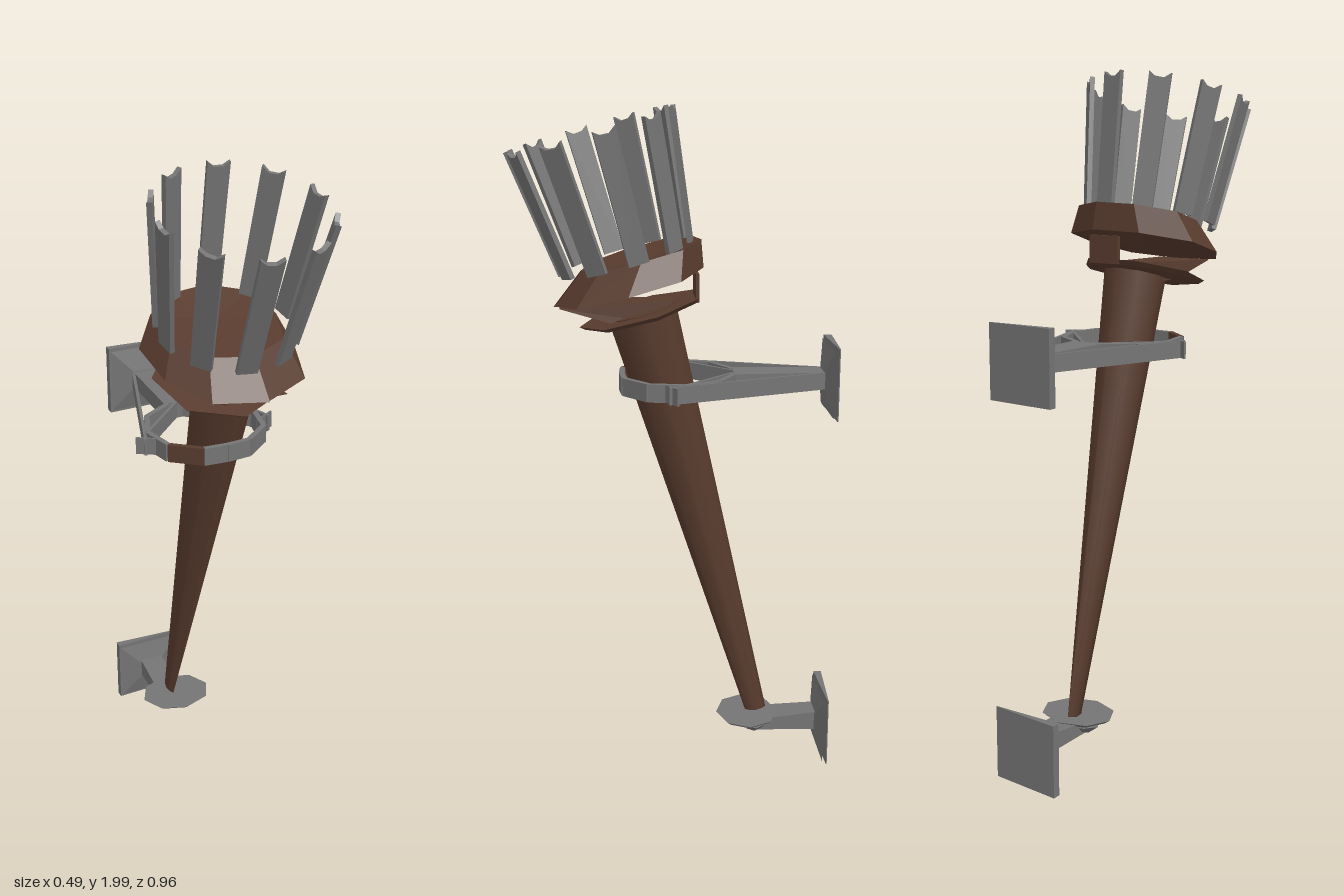
import * as THREE from 'three';

const iron = new THREE.MeshStandardMaterial({ color: 0x747474, side: THREE.DoubleSide });
iron.name = 'iron grey';
const wood = new THREE.MeshStandardMaterial({ color: 0x583b2e, side: THREE.DoubleSide });
wood.name = 'dark wood brown';

const TILT = 0.268; // the torch leans out from the wall

function add(parent, name, geo, mat, x = 0, y = 0, z = 0) {
  const mesh = new THREE.Mesh(geo, mat);
  mesh.name = name;
  mesh.position.set(x, y, z);
  parent.add(mesh);
  return mesh;
}

// Solid between two four-cornered cross-sections, each counter-clockwise seen from +z
function hull(back, front) {
  const p = [...back, ...front];
  const quads = [[3, 2, 1, 0], [4, 5, 6, 7]];
  for (let i = 0; i < 4; i++) {
    const j = (i + 1) % 4;
    quads.push([i, j, j + 4, i + 4]);
  }
  const pos = quads.flatMap(([a, b, c, d]) => [a, b, c, a, c, d].flatMap(i => p[i]));
  const geo = new THREE.BufferGeometry();
  geo.setAttribute('position', new THREE.Float32BufferAttribute(pos, 3));
  geo.computeVertexNormals();
  return geo;
}

// Rectangle of half sizes w, h at depth z
const rect = (w, h, z) => [[-w, -h, z], [w, -h, z], [w, h, z], [-w, h, z]];

// Upright flat strip between two plan points
function strap(parent, name, a, b, y, height, thick, mat = iron) {
  const dx = b[0] - a[0], dz = b[1] - a[1];
  const m = add(parent, name, new THREE.BoxGeometry(Math.hypot(dx, dz), height, thick), mat,
    (a[0] + b[0]) / 2, y, (a[1] + b[1]) / 2);
  m.rotation.y = Math.atan2(-dz, dx);
}

// Wall plate: shallow pyramid in front of a thin wedge
function wallPlate(parent, y) {
  const g = new THREE.Group();
  g.name = 'wallPlate';
  g.position.y = y;
  add(g, 'plateFront', hull(rect(0.105, 0.098, -0.457), rect(0.036, 0.026, -0.44)), iron);
  const h = 0.107;
  add(g, 'plateBack', hull(
    [[-0.11, -h, -0.485], [0.107, -h, -0.472], [0.107, h, -0.472], [-0.11, h, -0.485]],
    [[-0.11, -h, -0.461], [0.107, -h, -0.469], [0.107, h, -0.469], [-0.11, h, -0.461]]), iron);
  parent.add(g);
}

export function createModel() {
  const model = new THREE.Group();
  model.name = 'wallTorch';

  // Tapering shaft, flattened towards its foot
  const shaftGeo = new THREE.CylinderGeometry(0.1, 0.032, 1.33, 8);
  const p = shaftGeo.attributes.position;
  for (let i = 0; i < p.count; i++) {
    const t = p.getY(i) / 1.33 + 0.5;
    p.setX(i, p.getX(i) * (0.3 + 0.6 * Math.min(1, t * 1.1)) + 0.03 * t - 0.01);
  }
  shaftGeo.computeVertexNormals();
  add(model, 'shaft', shaftGeo, wood, 0, 0.78, -0.085).rotation.x = TILT;

  // Lower collar: a thin tilted disc
  const collar = add(model, 'lowerCollar', new THREE.CylinderGeometry(0.185, 0.17, 0.012, 7),
    wood, -0.005, 1.413, 0.09);
  collar.rotation.x = TILT;

  // Wedge joining collar and cup at the front
  add(model, 'neckWedge', hull(
    [[-0.05, 1.39, 0.05], [0.05, 1.39, 0.05], [0.04, 1.45, 0.0], [-0.04, 1.45, 0.0]],
    [[-0.07, 1.39, 0.17], [0.07, 1.39, 0.17], [0.09, 1.44, 0.325], [-0.09, 1.44, 0.325]]), wood);
  add(model, 'neckTab', new THREE.BoxGeometry(0.1, 0.08, 0.01), wood, 0.02, 1.49, -0.065);

  // Cup: irregular flaring ring with a sloping bowl inside
  const RIM = 9;
  const rimPoint = (i, upper) => {
    const a = (i / RIM) * Math.PI * 2 + 0.12;
    const wob = 1 + 0.05 * Math.sin(i * 2.4);
    const r = (upper ? 0.178 : 0.222) * wob;
    const z = (upper ? 0.09 : 0.125) + r * Math.cos(a) * 0.97;
    return [r * Math.sin(a), (upper ? 1.605 : 1.525) - 0.262 * z, z];
  };
  const tri = [];
  for (let i = 0; i < RIM; i++) {
    const a = rimPoint(i, false), b = rimPoint(i + 1, false);
    const c = rimPoint(i, true), d = rimPoint(i + 1, true);
    tri.push(a, b, d, a, d, c, c, d, [0, 1.57, 0.06], b, a, [0, 1.475, 0.12]);
  }
  const cupGeo = new THREE.BufferGeometry();
  cupGeo.setAttribute('position', new THREE.Float32BufferAttribute(tri.flat(), 3));
  cupGeo.computeVertexNormals();
  add(model, 'cup', cupGeo, wood);

  // Crown of ten notched strips leaning slightly outwards
  const outline = new THREE.Shape([[-0.029, 0], [0.029, 0], [0.032, 0.375], [0.012, 0.36],
    [-0.014, 0.362], [-0.032, 0.375]].map(q => new THREE.Vector2(...q)));
  const stripGeo = new THREE.ExtrudeGeometry(outline, { depth: 0.014, bevelEnabled: false });
  const crown = new THREE.Group();
  crown.name = 'crown';
  crown.position.set(0, 1.57, 0.135);
  crown.rotation.x = TILT;
  for (let i = 0; i < 10; i++) {
    const arm = new THREE.Group();
    arm.name = 'crownArm';
    arm.rotation.y = (-9 + 36 * i) * Math.PI / 180;
    add(arm, 'crownStrip', stripGeo, iron, 0, 0, 0.183).rotation.x = 0.13;
    crown.add(arm);
  }
  model.add(crown);

  // Upper bracket: arm, open band around the shaft and diagonal struts
  const upper = new THREE.Group();
  upper.name = 'upperBracket';
  const Y = 1.21;
  add(upper, 'upperArm', hull(rect(0.036, 0.024, -0.45), rect(0.05, 0.026, -0.175)), iron, 0, Y, 0);
  const half = [[0.04, -0.175], [0.13, -0.12], [0.17, -0.02], [0.15, 0.08], [0.07, 0.145], [0, 0.15]];
  for (const s of [-1, 1]) {
    for (let i = 0; i < half.length - 1; i++) {
      const [a, b] = [half[i], half[i + 1]].map(([x, z]) => [x * s, z]);
      strap(upper, 'bandSegment', a, b, Y, 0.052, 0.016, s < 0 && i === 3 ? wood : iron);
    }
    strap(upper, 'outerStrut', [0.038 * s, -0.44], [0.195 * s, 0.025], Y, 0.05, 0.009);
    strap(upper, 'innerStrut', [0.01 * s, -0.18], [0.17 * s, -0.02], Y, 0.05, 0.009);
    strap(upper, 'bandEar', [0.15 * s, 0.04], [0.215 * s, 0.0], Y, 0.05, 0.006);
  }
  model.add(upper);

  // Lower bracket: tapering arm and a thin rest under the shaft
  const lower = new THREE.Group();
  lower.name = 'lowerBracket';
  add(lower, 'lowerArm', hull(rect(0.036, 0.03, -0.45), rect(0.05, 0.016, -0.24)), iron, 0, 0.114, 0);
  const rest = add(lower, 'shaftRest', new THREE.CylinderGeometry(0.1, 0.085, 0.012, 8), iron, 0, 0.133, -0.23);
  rest.scale.set(1.15, 1, 0.95);
  add(lower, 'restBase', new THREE.CylinderGeometry(0.08, 0.05, 0.025, 8), iron, 0, 0.108, -0.25)
    .scale.set(1.1, 1, 0.6);
  model.add(lower);

  wallPlate(model, 0.107);
  wallPlate(model, Y);
  return model;
}
